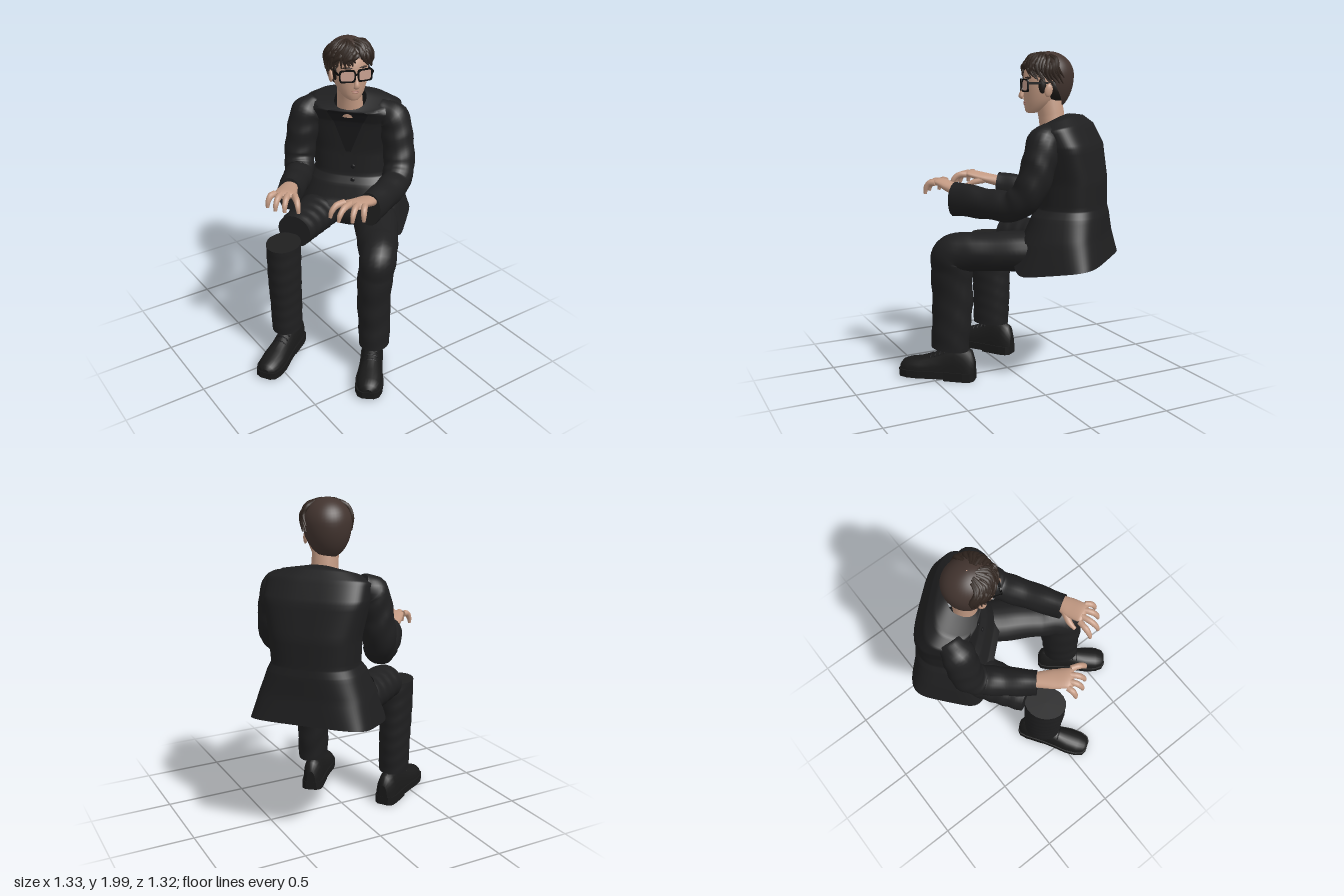
import * as THREE from 'three';

const mat = (name, color, side = THREE.FrontSide) => {
  const m = new THREE.MeshStandardMaterial({ color, side });
  m.name = name;
  return m;
};
const M = {
  suit: mat('suit black', 0x1f1f20, THREE.DoubleSide),
  trim: mat('trim black', 0x18181a, THREE.DoubleSide),
  shoe: mat('shoe black', 0x1a1a1a),
  skin: mat('skin', 0xc39a83),
  lip: mat('lip', 0xa87568),
  hair: mat('hair brown', 0x42342f, THREE.DoubleSide),
  darkHair: mat('dark hair', 0x30251f),
  shaved: mat('shaved hair', 0x1c1816),
  frame: mat('glasses black', 0x0c0c0c),
  lens: mat('lens', 0xc8a090, THREE.DoubleSide),
};
const YAW = -0.836;                                   // the way the body faces
const LEFT = new THREE.Vector3(Math.cos(YAW), 0, -Math.sin(YAW));
const lerp = THREE.MathUtils.lerp;

function add(parent, name, geo, material, x = 0, y = 0, z = 0) {
  const m = new THREE.Mesh(geo, material);
  m.name = name;
  m.position.set(x, y, z);
  parent.add(m);
  return m;
}

// Skin over rows of points; closed rows wrap round
function skinRows(rows, closed = true) {
  const n = rows[0].length, pos = [], idx = [];
  rows.forEach(r => r.forEach(p => pos.push(p.x, p.y, p.z)));
  for (let i = 0; i < rows.length - 1; i++)
    for (let j = 0; j < (closed ? n : n - 1); j++) {
      const k = (j + 1) % n, a = i * n + j, b = i * n + k, c = b + n, d = a + n;
      idx.push(a, b, c, a, c, d);
    }
  const g = new THREE.BufferGeometry();
  g.setAttribute('position', new THREE.Float32BufferAttribute(pos, 3));
  g.setIndex(idx);
  g.computeVertexNormals();
  return g;
}
function capped(rows) {
  const end = row => {
    const c = row.reduce((s, p) => s.add(p), new THREE.Vector3()).divideScalar(row.length);
    return row.map(() => c.clone());
  };
  const a = rows[0], z = rows[rows.length - 1];
  return skinRows([end(a), a, ...rows, z, end(z)]);
}

// Tapered limb through points [x, y, z, sideRadius, otherRadius]; folds ripple the cloth
function limb(pts, { steps = 36, sides = 20, folds = 0, ref = LEFT } = {}) {
  const curve = new THREE.CatmullRomCurve3(pts.map(p => new THREE.Vector3(p[0], p[1], p[2])));
  const rows = [];
  for (let i = 0; i <= steps; i++) {
    const t = i / steps, f = t * (pts.length - 1), k = Math.min(Math.floor(f), pts.length - 2);
    const r1 = lerp(pts[k][3], pts[k + 1][3], f - k);
    const r2 = lerp(pts[k][4] ?? pts[k][3], pts[k + 1][4] ?? pts[k + 1][3], f - k);
    const c = curve.getPoint(t), d = curve.getTangent(t);
    const a = ref.clone().addScaledVector(d, -ref.dot(d)).normalize(), b = d.clone().cross(a);
    rows.push(Array.from({ length: sides }, (_, j) => {
      const u = j / sides * Math.PI * 2;
      const w = 1 + folds * Math.sin(t * 42 + 2 * Math.sin(u) + 1.5 * Math.cos(2 * u));
      return c.clone().addScaledVector(a, r1 * w * Math.cos(u)).addScaledVector(b, r2 * w * Math.sin(u));
    }));
  }
  return capped(rows);
}
function ball(parent, name, material, x, y, z, rx, ry, rz) {
  const m = add(parent, name, new THREE.SphereGeometry(1, 20, 14), material, x, y, z);
  m.scale.set(rx, ry, rz);
  return m;
}

// Jacket sections from hem to collar: y, half width, centre z, half depth, tilt, front lift, corner power
const COAT = [
  [0.73, 0.365, -0.388, 0.258, -0.16, 0.22, 0.4], [0.90, 0.325, -0.395, 0.228, -0.08, 0.06, 0.55],
  [1.04, 0.28, -0.41, 0.208, 0, 0, 0.68], [1.09, 0.255, -0.425, 0.185, 0, 0, 0.75],
  [1.25, 0.265, -0.43, 0.175, 0, 0, 0.72], [1.45, 0.305, -0.405, 0.157, 0, 0, 0.62],
  [1.545, 0.305, -0.36, 0.138, -0.2, 0, 0.66], [1.58, 0.235, -0.325, 0.122, -0.36, 0, 0.75],
  [1.59, 0.1, -0.30, 0.085, -0.52, 0, 0.85],
];
function coatPoint(t, s, off = 0) {
  const i = Math.min(Math.floor(s), COAT.length - 2), f = s - i;
  const [y, w, cz, dz, tilt, lift, e] = COAT[i].map((v, k) => lerp(v, COAT[i + 1][k], f));
  const pow = v => Math.sign(v) * Math.abs(v) ** e;
  const sx = pow(Math.sin(t)), sz = pow(Math.cos(t)), z = (dz + off) * sz;
  return new THREE.Vector3((w + off) * sx, y + tilt * z + lift * Math.max(0, sz) ** 2 * (1 - sx ** 4), cz + z);
}
function coatPatch(s0, s1, t0, t1, off) {             // thin panel lying on the jacket
  const rows = [];
  for (let i = 0; i <= 20; i++) {
    const k = i / 20;
    rows.push(Array.from({ length: 9 }, (_, j) => coatPoint(lerp(t0(k), t1(k), j / 8), lerp(s0, s1, k), off)));
  }
  return skinRows(rows, false);
}

function buildTorso(root) {
  const g = new THREE.Group();
  g.name = 'torso';
  g.rotation.y = YAW;
  root.add(g);
  const rows = [];
  for (let i = 0; i <= 48; i++)
    rows.push(Array.from({ length: 64 }, (_, j) => coatPoint(j / 64 * Math.PI * 2, i / 6)));
  add(g, 'jacket', skinRows(rows), M.suit);
  ball(g, 'trouserSeat', M.suit, 0, 0.84, -0.37, 0.28, 0.145, 0.2);
  add(g, 'shirt', coatPatch(4, 8, k => -0.02 - 0.5 * k, k => 0.02 + 0.5 * k, 0.004), M.trim);
  for (const s of [-1, 1]) {
    const inner = k => s * (0.02 + 0.5 * k), outer = k => s * (0.04 + 0.5 * k + 0.5 * Math.min(1, k * 1.6) * (k > 0.7 ? 0.75 : 1));
    add(g, 'lapel', s > 0 ? coatPatch(3.7, 8, inner, outer, 0.009) : coatPatch(3.7, 8, outer, inner, 0.009), M.suit);
    add(g, 'pocketFlap', coatPatch(1.0, 1.45, () => s * 1.15 - 0.3, () => s * 1.15 + 0.3, 0.008), M.suit);
  }
  add(g, 'chestPocket', coatPatch(4.6, 4.75, () => 0.65, () => 1.0, 0.005), M.trim);
  for (const s of [2.6, 3.4]) {
    const p = coatPoint(0.06, s, 0.004);
    ball(g, 'button', M.trim, p.x, p.y, p.z, 0.014, 0.014, 0.006);
  }
  add(g, 'neck', limb([[0, 1.5, -0.295, 0.085, 0.075], [0, 1.62, -0.28, 0.077, 0.077], [0, 1.74, -0.255, 0.075, 0.08]],
    { ref: new THREE.Vector3(1, 0, 0) }), M.skin);
}

function buildShoe(root, name, x, z, yaw, len) {
  const g = new THREE.Group();
  g.name = name;
  g.position.set(x, 0, z);
  g.rotation.y = yaw;
  root.add(g);
  // along the foot: z, half width, top height
  const sec = [[-0.065, 0.03, 0.13], [-0.045, 0.055, 0.19], [0, 0.064, 0.215], [0.06, 0.064, 0.215], [0.12, 0.064, 0.19],
    [0.2, 0.07, 0.155], [0.28, 0.08, 0.13], [0.35, 0.076, 0.118], [0.395, 0.058, 0.1], [0.412, 0.028, 0.075]];
  add(g, 'shoeUpper', capped(sec.map(([sz, w, h]) => Array.from({ length: 24 }, (_, j) => {
    const u = j / 24 * Math.PI * 2, sn = Math.sin(u);
    return new THREE.Vector3(w * Math.cos(u), sn > 0 ? 0.04 + (h - 0.04) * sn ** 0.75 : 0.04 + 0.02 * sn, sz * len);
  }))), M.shoe);
  const outline = [...sec.map(([sz, w]) => new THREE.Vector2(w + 0.007, sz * len * 1.01)),
    ...sec.map(([sz, w]) => new THREE.Vector2(-w - 0.007, sz * len * 1.01)).reverse()];
  const flat = (pts, depth) => new THREE.ExtrudeGeometry(new THREE.Shape(pts), { depth, bevelEnabled: false }).rotateX(Math.PI / 2);
  add(g, 'sole', flat(outline, 0.045), M.shoe, 0, 0.055, 0);
  add(g, 'heel', flat([...outline.slice(0, 5), ...outline.slice(-5)], 0.04), M.shoe, 0, 0.04, 0);
  for (let i = 0; i < 4; i++) {
    const lace = add(g, 'lace', new THREE.TorusGeometry(0.04, 0.005, 6, 12, Math.PI), M.trim, 0, 0.166 - i * 0.012, (0.12 + i * 0.03) * len);
    lace.scale.y = 0.55;
  }
}

function buildHand(root, name, wrist, palm, k0, k1, tips, thumb) {
  const g = new THREE.Group();
  g.name = name;
  root.add(g);
  const mid = [(k0[0] + k1[0]) / 2, (k0[1] + k1[1]) / 2];
  add(g, 'palm', limb([[...wrist, 0.045, 0.035], [...palm, 0.062, 0.03], [mid[0], 1.212, mid[1], 0.064, 0.022],
    [lerp(palm[0], mid[0], 1.25), 1.207, lerp(palm[2], mid[1], 1.25), 0.05, 0.01]], { steps: 18 }), M.skin);
  tips.forEach(([x, z], i) => {
    const t = i / 3, kx = lerp(k0[0], k1[0], t), kz = lerp(k0[1], k1[1], t);
    add(g, 'finger', limb([[kx, 1.213, kz, 0.02], [lerp(kx, x, 0.55), 1.21, lerp(kz, z, 0.55), 0.019],
      [lerp(kx, x, 0.9), 1.18, lerp(kz, z, 0.9), 0.016], [x, 1.145, z, 0.01]], { steps: 12, sides: 10 }), M.skin);
  });
  add(g, 'thumb', limb([[...thumb[0], 0.026], [...thumb[1], 0.019], [...thumb[2], 0.011]], { steps: 10, sides: 10 }), M.skin);
}

// Hair shell: azimuth 0 is the front, polar angle 0 the crown
function hairPoint(az, th, k = 1) {
  const c = Math.cos(th), r = Math.sin(th) * k;
  return new THREE.Vector3(0.14 * r * Math.sin(az), 1.855 + (c < 0 ? 0.215 : 0.14) * c * k, 0.152 * r * Math.cos(az) - 0.012);
}
// Rounded square outline for the glasses
function roundedBox(w, h, Path) {
  const p = new Path(), r = 0.02;
  p.moveTo(-w + r, -h).lineTo(w - r, -h).quadraticCurveTo(w, -h, w, -h + r).lineTo(w, h - r).quadraticCurveTo(w, h, w - r, h);
  p.lineTo(-w + r, h).quadraticCurveTo(-w, h, -w, h - r).lineTo(-w, -h + r).quadraticCurveTo(-w, -h, -w + r, -h);
  return p;
}
function buildHead(root) {
  const g = new THREE.Group();
  g.name = 'head';
  g.position.set(0.184, 0, -0.165);
  g.rotation.y = -0.27;
  root.add(g);
  // chin to crown: y, half width, centre z, half depth
  const face = [[1.637, 0.03, 0.09, 0.028], [1.65, 0.05, 0.078, 0.048], [1.68, 0.076, 0.052, 0.08], [1.72, 0.094, 0.035, 0.1],
    [1.77, 0.106, 0.026, 0.112], [1.82, 0.11, 0.02, 0.118], [1.88, 0.11, 0.01, 0.124], [1.95, 0.085, 0, 0.09]];
  add(g, 'face', capped(face.map(([y, w, cz, d]) => Array.from({ length: 32 }, (_, j) => {
    const u = j / 32 * Math.PI * 2;
    return new THREE.Vector3(w * Math.sin(u), y, cz + d * Math.cos(u));
  }))), M.skin);
  add(g, 'nose', limb([[0, 1.80, 0.13, 0.012], [0, 1.765, 0.143, 0.013], [0, 1.735, 0.152, 0.019, 0.016], [0, 1.722, 0.142, 0.017, 0.008]],
    { steps: 12, sides: 12, ref: new THREE.Vector3(1, 0, 0) }), M.skin);
  ball(g, 'upperLip', M.lip, 0, 1.699, 0.129, 0.026, 0.005, 0.01);
  ball(g, 'lowerLip', M.lip, 0, 1.689, 0.126, 0.022, 0.006, 0.011);
  ball(g, 'undercut', M.shaved, 0, 1.785, -0.035, 0.121, 0.1, 0.09);
  for (const s of [-1, 1]) {
    ball(g, 'ear', M.skin, s * 0.119, 1.77, 0.015, 0.012, 0.038, 0.024).rotation.x = -0.2;
    ball(g, 'sideburn', M.shaved, s * 0.1, 1.8, 0.047, 0.015, 0.048, 0.024);
    ball(g, 'brow', M.darkHair, s * 0.05, 1.842, 0.122, 0.03, 0.006, 0.009).rotation.y = s * 0.4;
    // rim, lens and temple, wrapped slightly round the face
    const eye = new THREE.Group();
    eye.name = 'eyeglass';
    eye.position.set(s * 0.054, 1.798, 0.135);
    eye.rotation.y = s * 0.16;
    g.add(eye);
    const rim = roundedBox(0.049, 0.038, THREE.Shape);
    rim.holes.push(roundedBox(0.041, 0.03, THREE.Path));
    add(eye, 'glassesRim', new THREE.ExtrudeGeometry(rim, { depth: 0.01, bevelEnabled: false, curveSegments: 5 }), M.frame);
    add(eye, 'glassesLens', new THREE.ShapeGeometry(roundedBox(0.042, 0.031, THREE.Shape), 5), M.lens, 0, 0, 0.005);
    add(g, 'glassesTemple', new THREE.BoxGeometry(0.007, 0.012, 0.12), M.frame, s * 0.109, 1.812, 0.075);
  }
  add(g, 'glassesBridge', new THREE.BoxGeometry(0.026, 0.009, 0.01), M.frame, 0, 1.806, 0.146);
  // smooth back and crown
  const rows = [];
  for (let i = 0; i <= 20; i++)
    rows.push(Array.from({ length: 40 }, (_, j) => {
      const az = j / 40 * Math.PI * 2, c = Math.cos(az);
      const max = c > 0 ? lerp(1.7, 1.25, c) : lerp(1.7, 2.72, (-c) ** 0.8);
      return hairPoint(az, 0.02 + (max - 0.02) * (1 - i / 20));
    }));
  add(g, 'hair', skinRows(rows), M.hair);
  // swept wavy locks falling either side of the parting
  let seed = 7;
  const rnd = () => (seed = (seed * 16807) % 2147483647) / 2147483647;
  for (let i = 0; i < 80; i++) {
    const az = (i / 79 - 0.5) * 3.1, sweep = (az < 0.1 ? -1 : 1) * (0.1 + 0.35 * rnd());
    const end = 1.35 + 0.25 * Math.min(1, Math.abs(az)) + 0.22 * rnd(), start = 0.3 + 0.7 * rnd(), puff = 1 + 0.07 * rnd();
    const p = [0, 0.33, 0.66, 1].map((t, k) => {
      const v = hairPoint(az + sweep * t + (k % 2 ? 0.07 : -0.07), lerp(start, end, t), [0.98, puff, puff - 0.02, 1.02][k]);
      return [v.x, Math.min(v.y, 1.988), v.z, [0.008, 0.014, 0.012, 0.003][k]];
    });
    add(g, 'hairLock', limb(p, { steps: 10, sides: 7, ref: new THREE.Vector3(Math.cos(az), 0.1, -Math.sin(az)) }), M.darkHair);
  }
}

export function createModel() {
  const root = new THREE.Group();
  root.name = 'seatedMan';
  buildTorso(root);
  buildHead(root);

  // trousers
  add(root, 'leftTrouserLeg', limb([[0.36, 0.84, -0.15, 0.14, 0.13], [0.24, 0.825, 0.07, 0.14, 0.12], [0.11, 0.815, 0.27, 0.125, 0.115],
    [0.035, 0.79, 0.38, 0.112, 0.13], [0.015, 0.68, 0.385, 0.108, 0.13], [0.01, 0.5, 0.38, 0.102, 0.128], [0.01, 0.34, 0.39, 0.098, 0.122],
    [0.005, 0.2, 0.4, 0.095, 0.12]], { steps: 60, folds: 0.02 }), M.suit);
  add(root, 'rightThigh', limb([[0.19, 0.84, -0.35, 0.14, 0.13], [-0.02, 0.83, -0.25, 0.135, 0.12], [-0.255, 0.835, -0.115, 0.115, 0.105]],
    { folds: 0.02 }), M.suit);
  add(root, 'rightTrouserLeg', limb([[-0.365, 0.815, -0.06, 0.105, 0.13], [-0.365, 0.6, -0.06, 0.103, 0.13], [-0.36, 0.4, -0.06, 0.098, 0.125],
    [-0.36, 0.2, -0.055, 0.095, 0.12]], { folds: 0.012 }), M.suit);
  buildShoe(root, 'leftShoe', 0.05, 0.32, -0.68, 1);
  buildShoe(root, 'rightShoe', -0.28, -0.11, -0.98, 1.04);

  // sleeves
  add(root, 'leftSleeve', limb([[0.36, 1.525, -0.1, 0.07], [0.42, 1.48, -0.02, 0.098], [0.43, 1.35, 0.02, 0.1], [0.41, 1.2, 0.07, 0.098],
    [0.34, 1.12, 0.13, 0.092], [0.19, 1.115, 0.225, 0.088, 0.09], [-0.015, 1.125, 0.345, 0.074, 0.105]], { steps: 60, folds: 0.03 }), M.suit);
  add(root, 'rightSleeve', limb([[0.1, 1.525, -0.4, 0.07], [0.025, 1.48, -0.4, 0.098], [-0.01, 1.35, -0.4, 0.1], [-0.04, 1.2, -0.39, 0.098],
    [-0.08, 1.12, -0.33, 0.092], [-0.17, 1.115, -0.23, 0.088, 0.09], [-0.3, 1.125, -0.085, 0.074, 0.105]], { steps: 60, folds: 0.03 }), M.suit);

  // hands held out, palms down
  buildHand(root, 'leftHand', [0.03, 1.165, 0.325], [-0.06, 1.19, 0.355], [-0.18, 0.335], [-0.11, 0.435],
    [[-0.28, 0.34], [-0.27, 0.41], [-0.21, 0.46], [-0.15, 0.485]], [[-0.06, 1.18, 0.32], [-0.13, 1.165, 0.3], [-0.18, 1.145, 0.305]]);
  buildHand(root, 'rightHand', [-0.28, 1.165, -0.1], [-0.355, 1.19, -0.01], [-0.455, 0.02], [-0.375, 0.11],
    [[-0.515, 0.035], [-0.5, 0.1], [-0.465, 0.145], [-0.405, 0.2]], [[-0.33, 1.18, 0.01], [-0.345, 1.165, 0.07], [-0.365, 1.145, 0.12]]);
  return root;
}
